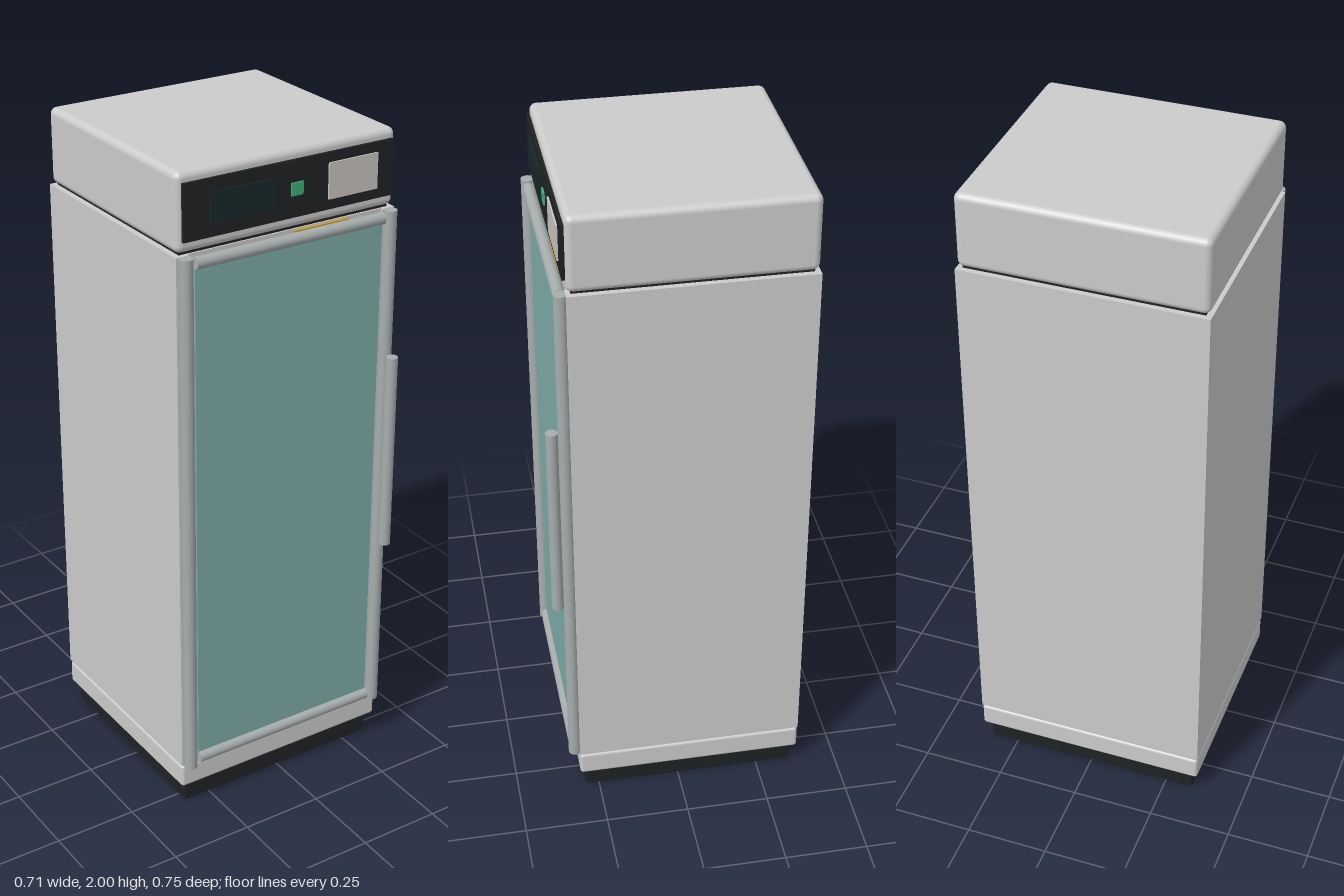
import * as THREE from 'three';
import { RoundedBoxGeometry } from 'three/addons/geometries/RoundedBoxGeometry.js';

const paint = (color) => new THREE.MeshStandardMaterial({ color });

export function createModel() {
  const model = new THREE.Group();
  model.name = 'displayCabinet';

  const shell = paint(0xcccdca);
  const metal = paint(0xa6acac);
  const black = paint(0x1f2224);
  const inner = paint(0x8c9090);

  // Box given by its limits on each axis; a radius rounds its edges
  function box(name, material, [x0, x1], [y0, y1], [z0, z1], radius = 0) {
    const size = [x1 - x0, y1 - y0, z1 - z0];
    const geometry = radius
      ? new RoundedBoxGeometry(...size, 4, radius)
      : new THREE.BoxGeometry(...size);
    const mesh = new THREE.Mesh(geometry, material);
    mesh.name = name;
    mesh.position.set((x0 + x1) / 2, (y0 + y1) / 2, (z0 + z1) / 2);
    model.add(mesh);
    return mesh;
  }

  // Round bar, upright or lying along x
  function bar(name, radius, length, x, y, z, lying = false) {
    const mesh = new THREE.Mesh(new THREE.CylinderGeometry(radius, radius, length, 32), metal);
    mesh.name = name;
    mesh.position.set(x, y, z);
    if (lying) mesh.rotation.z = Math.PI / 2;
    model.add(mesh);
  }

  // Plinth and base
  box('plinth', black, [-0.336, 0.336], [0, 0.07], [-0.355, 0.29], 0.008);
  box('base', shell, [-0.357, 0.357], [0.068, 0.143], [-0.376, 0.309], 0.01);

  // Hollow cabinet, open at the front
  const bodyY = [0.147, 1.77];
  for (const side of [-1, 1]) {
    const xs = [side * 0.357, side * 0.317].sort((a, b) => a - b);
    box(side > 0 ? 'leftWall' : 'rightWall', shell, xs, bodyY, [-0.376, 0.309]);
  }
  box('backWall', shell, [-0.317, 0.317], bodyY, [-0.376, -0.34]);
  box('cabinetFloor', shell, [-0.317, 0.317], [0.147, 0.18], [-0.34, 0.309]);
  box('cabinetCeiling', shell, [-0.317, 0.317], [1.742, 1.77], [-0.34, 0.3]);

  // Shelves behind the glass
  for (const y of [0.58, 0.985, 1.39]) {
    box('shelf', inner, [-0.317, 0.317], [y - 0.006, y + 0.006], [-0.34, 0.285]);
  }
  box('lamp', paint(0xc8a030), [0.02, 0.2], [1.75, 1.767], [0.3, 0.309]);

  // Glass door with round frame bars and grip
  box('doorGlass', paint(0x80aca9), [-0.307, 0.307], [0.175, 1.745], [0.314, 0.322]);
  for (const side of [-1, 1]) {
    bar('doorPost', 0.0195, 1.622, side * 0.334, 0.958, 0.322);
  }
  for (const y of [0.17, 1.75]) bar('doorRail', 0.0175, 0.616, 0, y, 0.322, true);
  bar('doorHandle', 0.0175, 0.613, 0.333, 1.028, 0.358);

  // Machine housing on top
  box('neck', black, [-0.34, 0.34], [1.765, 1.785], [-0.36, 0.295]);
  box('topHousing', shell, [-0.354, 0.354], [1.776, 2], [-0.373, 0.308], 0.02);

  // Control panel
  box('controlPanel', black, [-0.338, 0.338], [1.81, 1.972], [0.3, 0.317]);
  box('displayScreen', paint(0x18282a), [-0.258, -0.053], [1.85, 1.935], [0.31, 0.322]);
  box('statusLight', paint(0x3fae78), [0, 0.038], [1.873, 1.91], [0.31, 0.322]);
  box('infoPlate', paint(0xcac5bd), [0.122, 0.285], [1.84, 1.944], [0.31, 0.322]);

  return model;
}
